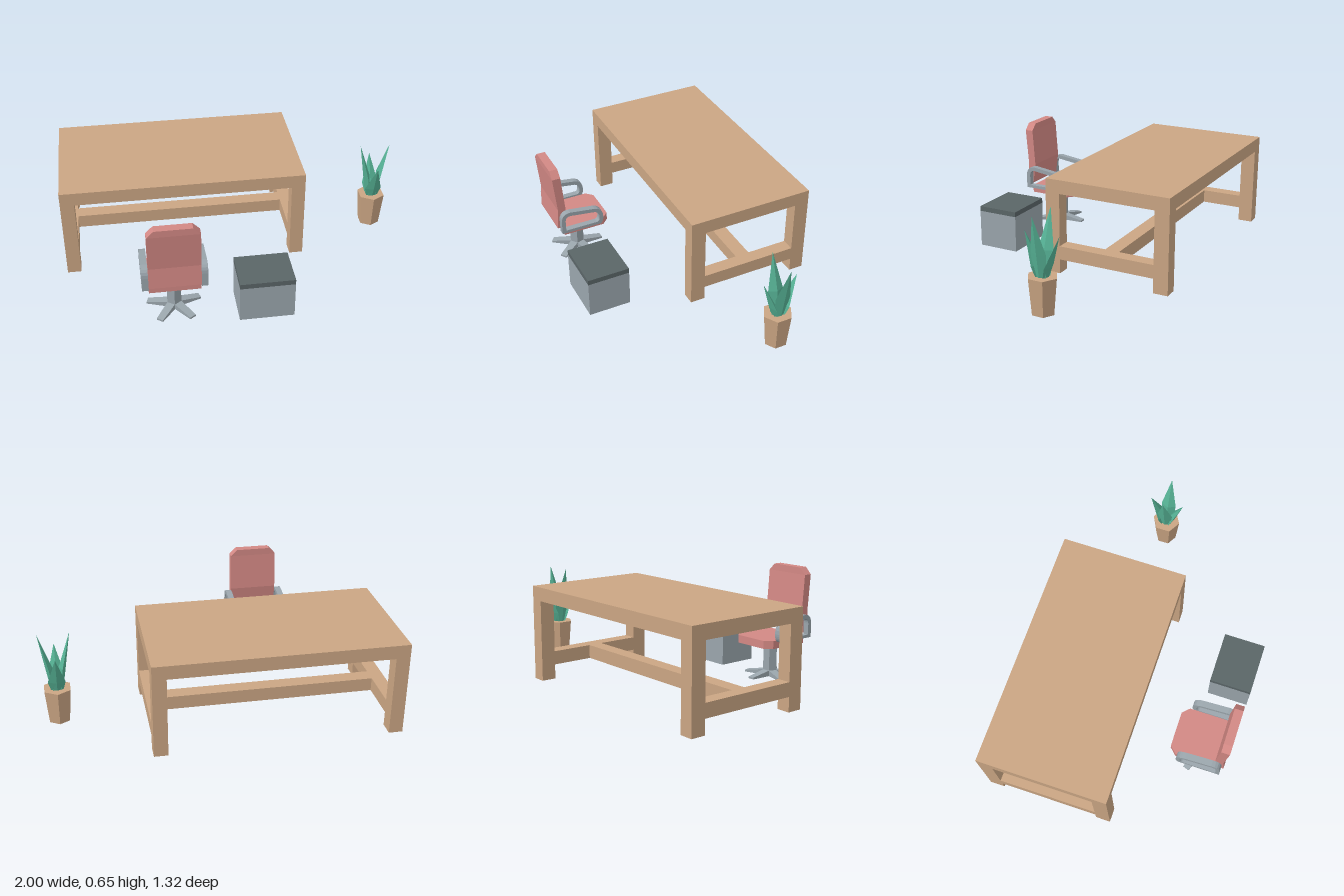
import * as THREE from 'three';

const mat = (name, color, extra = {}) => {
  const m = new THREE.MeshStandardMaterial({ color, ...extra });
  m.name = name;
  return m;
};

export function createModel() {
  const wood = mat('wood', 0xcaa583);
  const fabric = mat('red fabric', 0xd28884);
  const grey = mat('grey metal', 0x9aa5ac);
  const dark = mat('dark grey lid', 0x5a6567);
  const green = mat('leaf green', 0x56b295);

  const model = new THREE.Group();
  const group = (name, x = 0, y = 0, z = 0) => {
    const g = new THREE.Group();
    g.name = name;
    g.position.set(x, y, z);
    model.add(g);
    return g;
  };
  const add = (parent, name, geo, material) => {
    const m = new THREE.Mesh(geo, material);
    m.name = name;
    parent.add(m);
    return m;
  };
  // box given by its lower and upper limits
  const box = (parent, name, material, x0, x1, y0, y1, z0, z1) => {
    const m = add(parent, name, new THREE.BoxGeometry(x1 - x0, y1 - y0, z1 - z0), material);
    m.position.set((x0 + x1) / 2, (y0 + y1) / 2, (z0 + z1) / 2);
    return m;
  };
  // flat-shaded copy after moving each vertex by a rule
  const reshape = (geo, rule) => {
    const p = geo.attributes.position;
    const v = new THREE.Vector3();
    for (let i = 0; i < p.count; i++) {
      rule(v.fromBufferAttribute(p, i));
      p.setXYZ(i, v.x, v.y, v.z);
    }
    return flat(geo);
  };
  const flat = (geo) => {
    const g = geo.index ? geo.toNonIndexed() : geo;
    g.computeVertexNormals();
    return g;
  };

  // Table: slab top, four legs and an H-shaped stretcher
  const table = group('table', -0.291, 0, -0.282);
  const W = 0.709, D = 0.378, LX = 0.08, LZ = 0.087;
  box(table, 'tableTop', wood, -W, W, 0.475, 0.555, -D, D);
  for (const sx of [-1, 1]) {
    for (const sz of [-1, 1]) {
      const leg = add(table, 'tableLeg', new THREE.BoxGeometry(LX, 0.475, LZ), wood);
      leg.position.set(sx * (W - LX / 2), 0.2375, sz * (D - LZ / 2));
    }
    const rail = add(table, 'sideStretcher', new THREE.BoxGeometry(LX, 0.08, 2 * (D - LZ)), wood);
    rail.position.set(sx * (W - LX / 2), 0.125, 0);
  }
  box(table, 'longStretcher', wood, -W + LX, W - LX, 0.085, 0.165, -0.043, 0.043);

  // Storage box with dark lid
  const storage = group('storageBox');
  box(storage, 'boxBody', grey, -0.053, 0.257, 0, 0.22, 0.41, 0.66);
  box(storage, 'boxLid', dark, -0.053, 0.257, 0.22, 0.25, 0.41, 0.66);

  // Office chair, facing the table
  const chair = group('chair', -0.402, 0, 0.475);
  const HW = 0.144;

  // seat with two cut corners
  const seatShape = new THREE.Shape([
    [-HW, 0.125], [-HW, -0.125], [-HW + 0.04, -0.165],
    [HW - 0.04, -0.165], [HW, -0.125], [HW, 0.125],
  ].map(([x, z]) => new THREE.Vector2(x, z)));
  const seatGeo = new THREE.ExtrudeGeometry(seatShape, { depth: 0.047, bevelEnabled: false });
  seatGeo.rotateX(Math.PI / 2);
  add(chair, 'seat', seatGeo, fabric).position.y = 0.25;

  // bent backrest: height, inner z, outer z, half width
  const rows = [
    [0.265, 0.125, 0.165, HW],
    [0.39, 0.108, 0.155, HW],
    [0.61, 0.125, 0.175, HW],
    [0.65, 0.125, 0.175, HW - 0.04],
  ];
  add(chair, 'backrest', reshape(new THREE.BoxGeometry(2, 3, 2, 1, 3, 1), (v) => {
    const [y, z0, z1, w] = rows[Math.round(v.y + 1.5)];
    v.set(v.x * w, y, v.z < 0 ? z0 : z1);
  }), fabric);

  // closed armrest loops
  const loop = (o, T) => {
    const s = new T();
    s.moveTo(0.15 - o, 0.242 + o * 0.75);
    s.lineTo(0.15 - o, 0.325);
    s.quadraticCurveTo(0.15 - o, 0.381 - o, 0.095, 0.381 - o);
    s.lineTo(-0.06, 0.36 - o);
    s.quadraticCurveTo(-0.113 + o, 0.35 - o, -0.113 + o, 0.29);
    s.quadraticCurveTo(-0.113 + o, 0.255 + o * 0.3, -0.095 + o, 0.242 + o * 0.75);
    s.closePath();
    return s;
  };
  const armShape = loop(0, THREE.Shape);
  armShape.holes.push(loop(0.024, THREE.Path));
  const armGeo = new THREE.ExtrudeGeometry(armShape, { depth: 0.037, bevelEnabled: false, curveSegments: 5 });
  armGeo.translate(0, 0, -0.0185).rotateY(-Math.PI / 2);
  for (const s of [-1, 1]) add(chair, 'armrest', armGeo, grey).position.x = s * 0.1625;

  // five-sided column on a five-legged star base
  const column = flat(new THREE.CylinderGeometry(0.042, 0.042, 0.193, 5));
  add(chair, 'column', column, grey).position.y = 0.1065;
  const footGeo = reshape(new THREE.BoxGeometry(1, 1, 1), (v) => {
    const tip = v.z > 0;
    v.set(v.x * (tip ? 0.04 : 0.05), v.y < 0 ? 0 : tip ? 0.011 : 0.038, tip ? 0.158 : 0.01);
  });
  for (let i = 0; i < 5; i++) {
    add(chair, 'baseLeg', footGeo, grey).rotation.y = Math.PI + (i * Math.PI * 2) / 5;
  }

  // Potted plant: hexagonal pot and four spear-shaped leaves
  const plant = group('plant', 0.905, 0, -0.175);
  const pot = flat(new THREE.CylinderGeometry(0.085, 0.066, 0.207, 6));
  add(plant, 'pot', pot, wood).position.y = 0.1035;

  // four-sided spear leaning outward along +z
  const leafGeo = (midY, midW, tipY, tipR) => {
    const sections = [[0.2, 0.02, 0.034, 0.015], [midY, 0.038, midW, 0.02], [tipY, tipR, 0, 0]];
    const geo = new THREE.CylinderGeometry(1, 1, 2, 4, 2, true);
    return reshape(geo, (v) => {
      const [y, r, w, d] = sections[Math.round(v.y + 1)];
      v.set(v.x * w, y, r + v.z * d);
    });
  };
  const tall = leafGeo(0.34, 0.046, 0.555, 0.091);
  const short = leafGeo(0.265, 0.05, 0.437, 0.103);
  for (let i = 0; i < 4; i++) {
    add(plant, 'leaf', i % 2 ? tall : short, green).rotation.y = (i * Math.PI) / 2;
  }

  return model;
}
